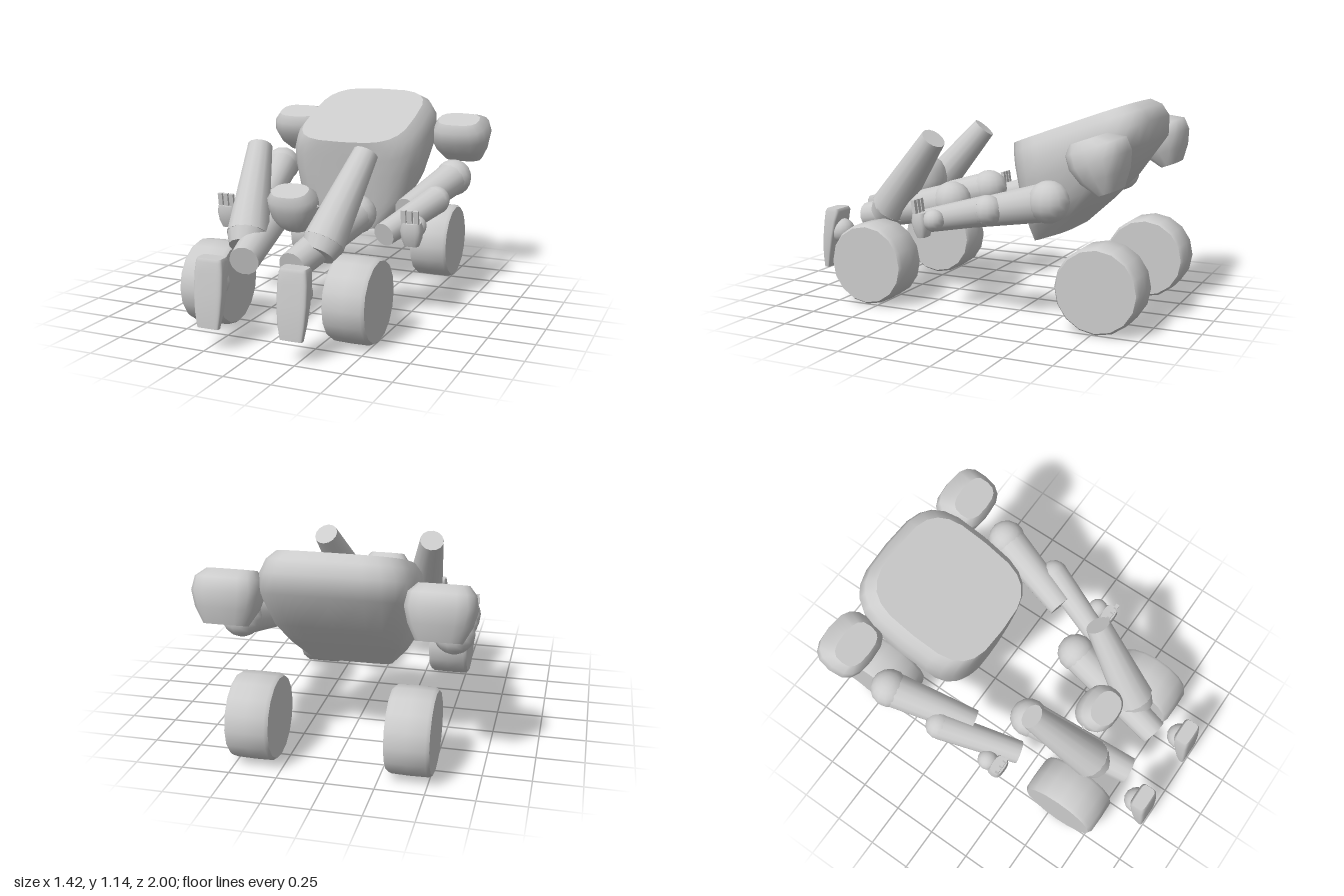
import * as THREE from 'three';
import { toCreasedNormals } from 'three/addons/utils/BufferGeometryUtils.js';

const material = new THREE.MeshStandardMaterial({ color: 0xcccccc });
const UP = new THREE.Vector3(0, 1, 0);
const TILT = 0.347;

function add(parent, name, geometry, x = 0, y = 0, z = 0) {
  const mesh = new THREE.Mesh(geometry, material);
  mesh.name = name;
  mesh.position.set(x, y, z);
  parent.add(mesh);
  return mesh;
}

// Solid from rounded-square sections [y, zBack, zFront, halfWidth], flat caps at both ends
function loft(sections, power = 4, sides = 24) {
  const pos = [], index = [];
  const round = (v) => Math.sign(v) * Math.abs(v) ** (2 / power);
  const ring = ([y, back, front, hx]) => {
    const first = pos.length / 3;
    for (let j = 0; j < sides; j++) {
      const t = (j / sides) * Math.PI * 2;
      pos.push(hx * round(Math.cos(t)), y, (back + front) / 2 + ((front - back) / 2) * round(Math.sin(t)));
    }
    return first;
  };
  const rings = sections.map(ring);
  for (let i = 0; i + 1 < rings.length; i++) {
    for (let j = 0; j < sides; j++) {
      const k = (j + 1) % sides;
      const a = rings[i] + j, b = rings[i] + k, c = rings[i + 1] + j, d = rings[i + 1] + k;
      index.push(a, c, b, b, c, d);
    }
  }
  for (const top of [false, true]) {
    const s = sections[top ? sections.length - 1 : 0];
    const first = ring(s), centre = pos.length / 3;
    pos.push(0, s[0], (s[1] + s[2]) / 2);
    for (let j = 0; j < sides; j++) {
      const a = first + j, b = first + ((j + 1) % sides);
      if (top) index.push(centre, b, a);
      else index.push(centre, a, b);
    }
  }
  const g = new THREE.BufferGeometry();
  g.setAttribute('position', new THREE.Float32BufferAttribute(pos, 3));
  g.setIndex(index);
  g.computeVertexNormals();
  return g;
}

// Tapered tube between two points
function limb(parent, name, from, to, r0, r1) {
  const a = new THREE.Vector3(...from), b = new THREE.Vector3(...to);
  const dir = b.clone().sub(a);
  const mesh = add(parent, name, new THREE.CylinderGeometry(r1, r0, dir.length(), 14));
  mesh.position.copy(a).add(b).multiplyScalar(0.5);
  mesh.quaternion.setFromUnitVectors(UP, dir.normalize());
}

const ball = (r) => new THREE.SphereGeometry(r, 14, 10);

function wheelGeometry() {
  const profile = [[0, -0.113], [0.212, -0.113], [0.224, -0.095], [0.226, 0], [0.224, 0.095], [0.212, 0.113], [0, 0.113]];
  const g = new THREE.LatheGeometry(profile.map(([r, y]) => new THREE.Vector2(r, y)), 16);
  return toCreasedNormals(g.rotateZ(Math.PI / 2), 0.9);
}

export function createModel() {
  const model = new THREE.Group();
  model.name = 'wheeledRobot';

  // Leaning torso: straight front, bulging back, flat ends
  const torso = loft([
    [0, -0.236, 0, 0.21], [0.08, -0.42, -0.012, 0.295], [0.17, -0.595, -0.024, 0.357],
    [0.32, -0.81, -0.046, 0.395], [0.42, -0.85, -0.06, 0.395], [0.49, -0.835, -0.07, 0.368],
    [0.535, -0.788, -0.077, 0.328],
  ], 3.4);
  add(model, 'torso', torso, 0, 0.37, -0.28).rotation.x = TILT;

  // Head: rounded below, flat on top
  const head = loft([
    [-0.115, -0.05, 0.05, 0.07], [-0.08, -0.088, 0.08, 0.102], [-0.03, -0.108, 0.1, 0.124],
    [0.03, -0.112, 0.106, 0.133], [0.075, -0.1, 0.104, 0.131], [0.115, -0.065, 0.085, 0.1],
  ], 2.4, 20);
  add(model, 'head', head, 0, 0.64, 0.465).rotation.x = TILT;

  const shoulder = loft([
    [-0.14, -0.06, 0.045, 0.115], [-0.06, -0.115, 0.11, 0.157], [0.02, -0.147, 0.14, 0.178],
    [0.09, -0.143, 0.138, 0.165], [0.135, -0.06, 0.105, 0.125],
  ], 2.8, 16);
  const foot = loft([
    [0.12, 0.965, 0.998, 0.06], [0.2, 0.945, 1, 0.073], [0.3, 0.922, 0.995, 0.081],
    [0.4, 0.898, 0.985, 0.08], [0.455, 0.884, 0.98, 0.074], [0.472, 0.895, 0.972, 0.068],
  ], 5.5);
  const palm = loft([
    [-0.07, -0.025, 0.025, 0.04], [-0.03, -0.04, 0.038, 0.054], [0.02, -0.045, 0.045, 0.061], [0.06, -0.032, 0.038, 0.052],
  ], 3.2, 16);
  const wheel = wheelGeometry();

  for (const s of [1, -1]) {
    const side = new THREE.Group();
    side.name = s > 0 ? 'leftSide' : 'rightSide';
    model.add(side);

    // Wheels
    add(side, 'frontWheel', wheel, s * 0.404, 0.226, 0.562);
    add(side, 'rearWheel', wheel, s * 0.404, 0.226, -0.774);

    // Shoulder and arm
    add(side, 'shoulder', shoulder, s * 0.53, 0.87, -0.8).rotation.x = TILT;
    add(side, 'upperArmJoint', ball(0.107), s * 0.56, 0.67, -0.54);
    limb(side, 'upperArm', [s * 0.56, 0.67, -0.54], [s * 0.435, 0.553, -0.07], 0.1, 0.076);
    add(side, 'elbow', ball(0.08), s * 0.56, 0.6, -0.205);
    limb(side, 'forearm', [s * 0.56, 0.6, -0.205], [s * 0.412, 0.485, 0.225], 0.08, 0.065);

    // Hand with upright fingers
    add(side, 'wrist', ball(0.058), s * 0.552, 0.52, 0.112);
    add(side, 'palm', palm, s * 0.552, 0.497, 0.178).rotation.x = 0.1;
    for (const x of [0.585, 0.55, 0.515]) {
      const finger = add(side, 'finger', new THREE.BoxGeometry(0.026, 0.12, 0.02), s * x, 0.566, 0.203);
      finger.rotation.x = 0.15;
    }

    // Leg
    add(side, 'hip', ball(0.107), s * 0.235, 0.57, 0.17);
    limb(side, 'thigh', [s * 0.235, 0.57, 0.17], [s * 0.135, 0.42, 0.775], 0.1, 0.078);
    limb(side, 'shin', [s * 0.312, 0.92, 0.24], [s * 0.218, 0.505, 0.575], 0.068, 0.112);
    limb(side, 'shinEnd', [s * 0.218, 0.505, 0.575], [s * 0.208, 0.45, 0.622], 0.112, 0.088);

    // Foot with ankle behind it
    add(side, 'foot', foot, s * 0.228, 0, 0);
    add(side, 'ankle', ball(0.073), s * 0.228, 0.335, 0.905);

    // Small ear on the head
    const ear = add(side, 'ear', new THREE.ConeGeometry(0.02, 0.03, 8), s * 0.133, 0.66, 0.46);
    ear.rotation.z = -s * Math.PI / 2;
  }
  return model;
}
